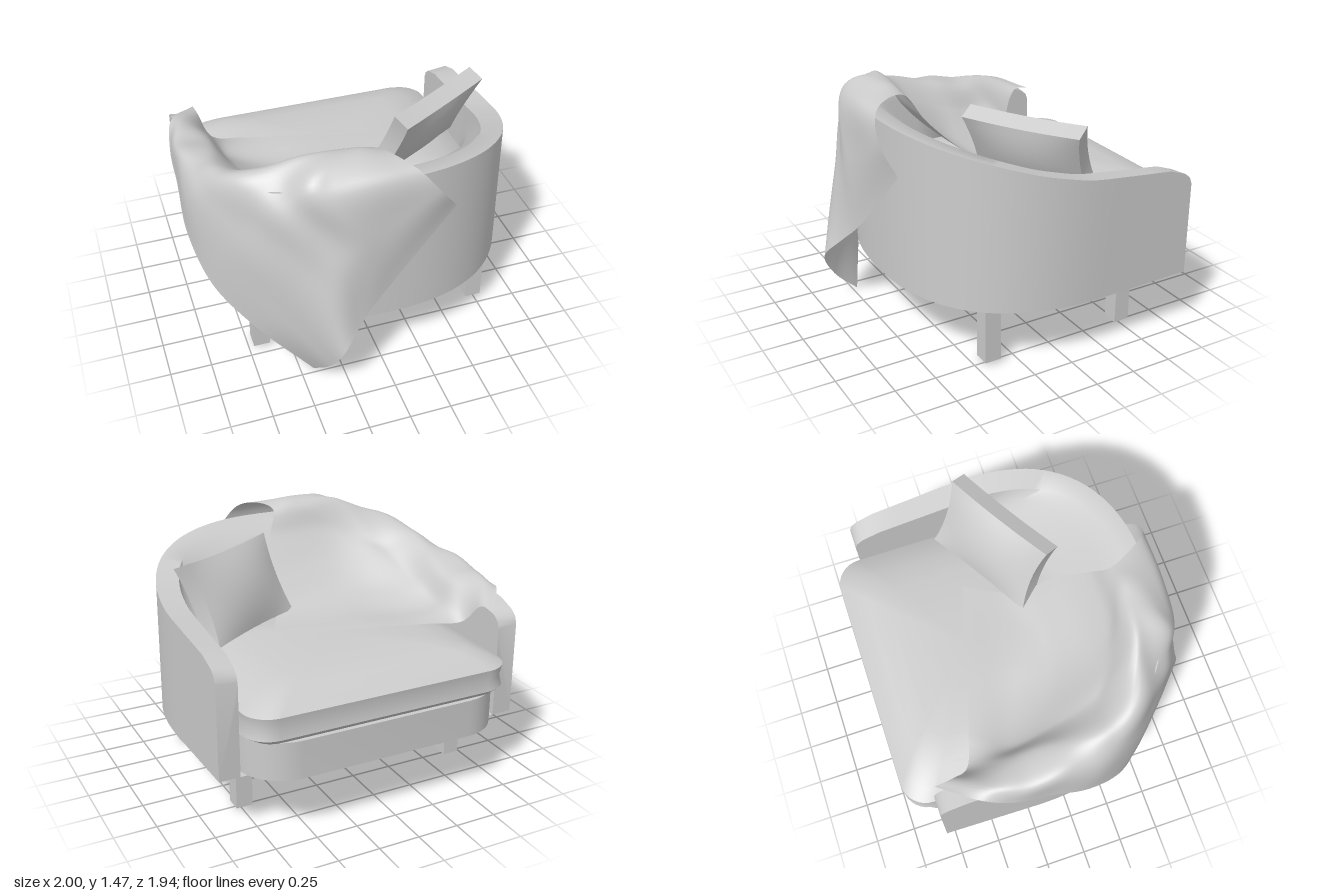
import * as THREE from 'three';
import { toCreasedNormals } from 'three/addons/utils/BufferGeometryUtils.js';

const CX = 0.035; // centre line of the chair
const grey = (side = THREE.FrontSide) => new THREE.MeshStandardMaterial({ color: 0xcccccc, side });

// Surface through rows of points; optional flat caps at both ends
function skin(rows, capped = false, crease = 0.6) {
  const n = rows[0].length, idx = [];
  for (let i = 0; i < rows.length - 1; i++) {
    for (let j = 0; j < n - 1; j++) {
      const a = i * n + j, b = a + 1, c = a + n, d = c + 1;
      idx.push(a, b, c, b, d, c);
    }
  }
  if (capped) {
    const e = (rows.length - 1) * n;
    for (let j = 1; j < n - 1; j++) idx.push(0, j + 1, j, e, e + j, e + j + 1);
  }
  const g = new THREE.BufferGeometry();
  g.setAttribute('position', new THREE.Float32BufferAttribute(rows.flat(2), 3));
  g.setIndex(idx);
  return toCreasedNormals(g, crease);
}

// Rim height of the tub along z
const RIM = [[-0.8, 0.94], [-0.785, 0.98], [-0.75, 1.01], [-0.64, 1.05], [-0.38, 1.08], [-0.09, 1.115],
  [0.19, 1.18], [0.45, 1.255], [0.76, 1.34]];
function rimHeight(z) {
  for (let i = 1; i < RIM.length; i++) {
    const [z0, y0] = RIM[i - 1], [z1, y1] = RIM[i];
    if (z <= z1) return THREE.MathUtils.mapLinear(z, z0, z1, y0, y1);
  }
  return 1.34;
}

// Squarish arc around the back, t from 0 (left) to PI (right)
function arc(t, halfWidth, zBack, power = 2.45) {
  const c = Math.cos(t), s = Math.sin(t), p = 2 / power;
  return [CX + Math.sign(c) * halfWidth * Math.abs(c) ** p, -0.2 + (zBack + 0.2) * Math.abs(s) ** p];
}

// Cross-sections of the tub: upright arms that turn into a sloping backrest
function tubStations() {
  const stations = [];
  const add = (t, z) => {
    const pick = (w, back, y, power) => {
      const [x, za] = arc(t, w, back, power);
      return [x, y, z ?? za];
    };
    const outer = 0.965 - 0.025 * Math.max(0, -0.2 - (z ?? 0));
    const h = rimHeight(z ?? arc(t, outer, 0.76, 2.35)[1]);
    stations.push([
      pick(outer, 0.76, 0.37), pick(outer, 0.76, h, 2.35), pick(0.825, 0.65, h - 0.015),
      pick(0.825, 0.53, h - 0.11), pick(0.825, 0.3, 0.8 + (h - 0.8) * 0.42), pick(0.825, 0.08, 0.8),
      pick(0.825, 0.08, 0.37),
    ]);
  };
  const arm = [-0.8, -0.795, -0.785, -0.75, -0.7, -0.64, -0.5, -0.38];
  arm.forEach(z => add(0, z));
  for (let i = 0; i <= 48; i++) add(i / 48 * Math.PI);
  arm.slice().reverse().forEach(z => add(Math.PI, z));
  return stations;
}

// Stack of rounded-rectangle rings; profile is a list of [scale, y]
function pad(halfW, halfD, r, zc, profile) {
  const ring = [];
  for (let q = 0; q < 4; q++) {
    const sx = q === 0 || q === 3 ? 1 : -1, sz = q < 2 ? 1 : -1;
    for (let k = 0; k <= 8; k++) {
      const a = (q + k / 8) * Math.PI / 2;
      ring.push([sx * (halfW - r) + r * Math.cos(a), sz * (halfD - r) + r * Math.sin(a)]);
    }
  }
  ring.push(ring[0]);
  ring.reverse();
  return skin(profile.map(([s, y]) => ring.map(([x, z]) => [CX + x * s, y, zc + z * s])), false, 0.7);
}

// Square scatter cushion: bulging faces and drawn-out corners
function pillowGeometry() {
  const w = 0.73, h = 0.5, g = new THREE.BoxGeometry(w, h, 0.11, 14, 10, 1), p = g.attributes.position;
  for (let i = 0; i < p.count; i++) {
    const u = p.getX(i) / (w / 2), v = p.getY(i) / (h / 2), z = p.getZ(i);
    p.setXYZ(i, p.getX(i) * (1 - 0.08 * (1 - v * v)), p.getY(i) * (1 - 0.05 * (1 - u * u)),
      z + Math.sign(z) * 0.05 * (1 - u * u) * (1 - v * v));
  }
  return toCreasedNormals(g, 0.6);
}

// Throw: control rows from the outer hem, over the rim, down to the seat;
// each row runs from the arm side to the middle of the back
function throwGeometry() {
  const control = [
    [[-0.42, 0, 0.72], [-0.36, 0.18, 0.89], [-0.3, 0.35, 0.97], [-0.17, 0.5, 0.9], [-0.03, 0.63, 0.85], [0.41, 1.1, 0.78]],
    [[-0.72, 0.28, 0.55], [-0.62, 0.5, 0.67], [-0.45, 0.8, 0.82], [-0.28, 0.95, 0.85], [-0.1, 1.06, 0.85], [0.29, 1.26, 0.83]],
    [[-0.92, 0.5, 0.34], [-0.86, 0.8, 0.43], [-0.69, 1.08, 0.59], [-0.52, 1.26, 0.7], [-0.33, 1.38, 0.77], [0.16, 1.41, 0.78]],
    [[-1, 0.72, 0.08], [-0.98, 0.98, 0.17], [-0.87, 1.22, 0.31], [-0.55, 1.39, 0.5], [-0.2, 1.47, 0.56], [0.03, 1.42, 0.55]],
    [[-0.99, 0.88, -0.18], [-0.97, 1.13, -0.06], [-0.83, 1.21, 0.1], [-0.6, 1.17, 0.25], [-0.35, 1.24, 0.4], [0.1, 1.27, 0.45]],
    [[-0.985, 0.98, -0.38], [-0.955, 1.12, -0.3], [-0.77, 1.13, -0.16], [-0.64, 1.02, -0.07], [-0.3, 1.04, 0.19], [0.21, 1.08, 0.26]],
    [[-0.94, 1.09, -0.55], [-0.88, 1.12, -0.48], [-0.75, 1.06, -0.38], [-0.64, 0.94, -0.3], [-0.2, 0.93, -0.02], [0.25, 0.93, 0.05]],
    [[-0.76, 1.02, -0.78], [-0.75, 1.03, -0.67], [-0.69, 0.91, -0.57], [-0.5, 0.905, -0.5], [-0.1, 0.91, -0.39], [0.41, 0.9, -0.25]],
  ];
  const smooth = (pts, n) => new THREE.CatmullRomCurve3(pts, false, 'centripetal').getPoints(n);
  const across = control.map(r => smooth(r.map(p => new THREE.Vector3(...p)), 60));
  const columns = across[0].map((_, j) => smooth(across.map(r => r[j]), 70));
  // Soft folds that fade out at the hems and over the arm
  const rows = columns.map((col, i) => col.map((p, j) => {
    const u = i / 60, v = j / 70, fade = 1.6 * u * Math.sin(Math.PI * u) * Math.sin(Math.PI * v);
    const fold = fade * (0.013 * Math.sin(u * 26 + 5 * v) + 0.01 * Math.sin(v * 38 - u * 15));
    return [p.x - fold * 0.4, p.y + fold, p.z + fold * 0.7];
  }));
  return skin(rows, false, 1.2);
}

export function createModel() {
  const group = new THREE.Group();
  const add = (name, geometry, material = grey()) => {
    const mesh = new THREE.Mesh(geometry, material);
    mesh.name = name;
    group.add(mesh);
    return mesh;
  };

  // Curved back and arms in one shell, with a floor under it
  const stations = tubStations();
  add('tubShell', skin(stations, true, 0.9));
  const outline = new THREE.Shape(stations.map(s => new THREE.Vector2(s[0][0], -s[0][2])));
  const floor = new THREE.ShapeGeometry(outline);
  floor.rotateX(-Math.PI / 2).translate(0, 0.37, 0);
  add('floorPanel', floor, grey(THREE.DoubleSide));

  // Seat base and cushion, projecting beyond the arms
  add('seatBase', pad(0.81, 0.63, 0.28, -0.34, [[0, 0.372], [1, 0.372], [1, 0.6], [0, 0.6]]));
  add('seatCushion', pad(0.82, 0.63, 0.16, -0.34, [
    [0, 0.57], [0.83, 0.57], [0.94, 0.59], [1, 0.63], [0.985, 0.69], [1, 0.76],
    [0.92, 0.8], [0.78, 0.85], [0.6, 0.875], [0.3, 0.89], [0, 0.895],
  ]));

  // Four square legs
  for (const x of [-0.705, 0.705]) {
    for (const z of [0.4, -0.505]) {
      add('leg', new THREE.BoxGeometry(0.1, 0.36, 0.1)).position.set(CX + x, 0.2, z);
    }
  }

  // Scatter cushion leaning into the corner
  const pillow = add('pillow', pillowGeometry());
  pillow.rotation.set(0.43, 0.53, 0, 'YXZ');
  pillow.position.set(0.525, 1.125, 0);

  add('throwBlanket', throwGeometry(), grey(THREE.DoubleSide));
  return group;
}
